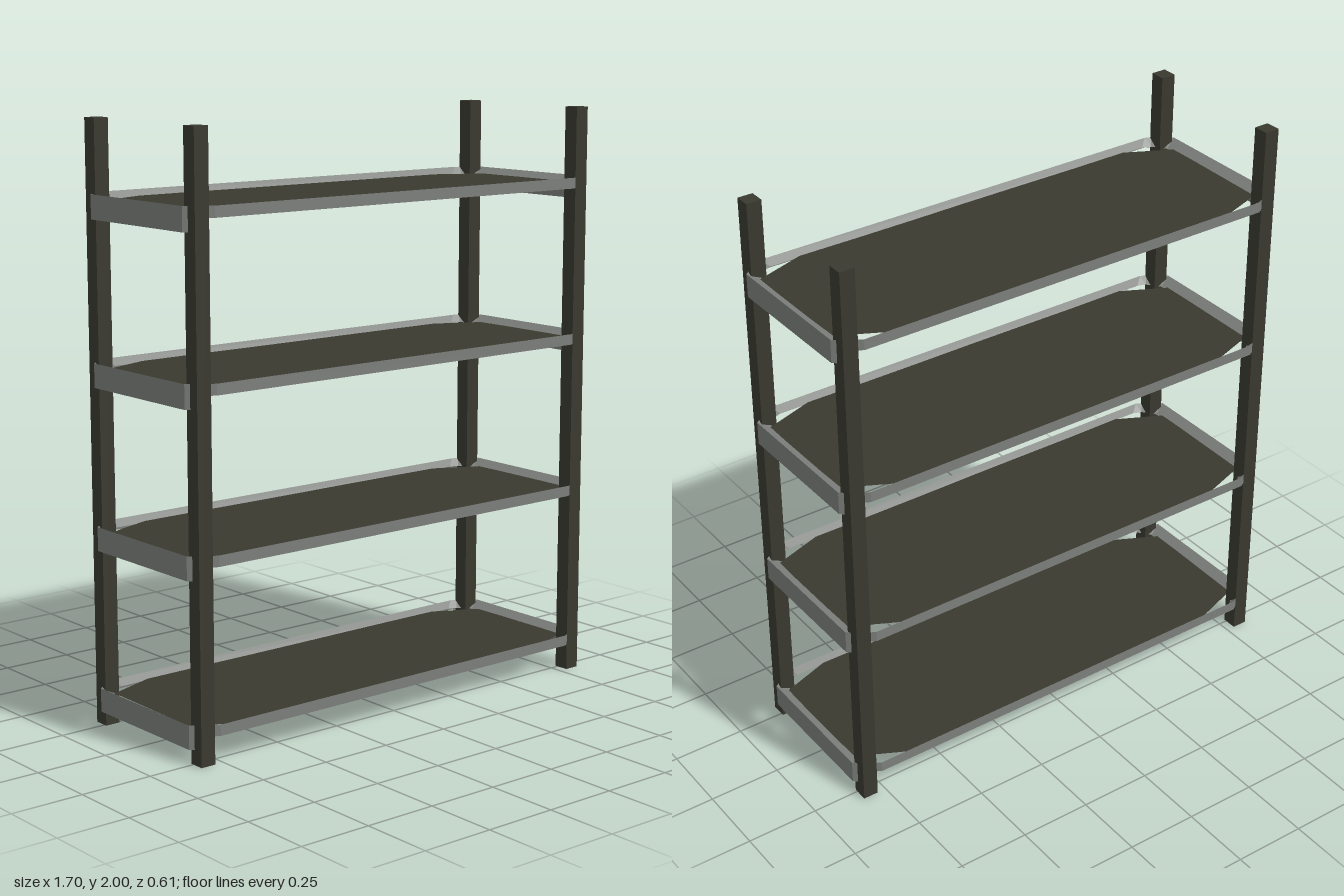
import * as THREE from 'three';

const postMat = new THREE.MeshStandardMaterial({ color: 0x3a392f });
postMat.name = 'darkOlive';
const frameMat = new THREE.MeshStandardMaterial({ color: 0x7b7e7b, side: THREE.DoubleSide });
frameMat.name = 'steelGrey';
const deckMat = new THREE.MeshStandardMaterial({ color: 0x3a392f, side: THREE.DoubleSide });
deckMat.name = 'darkDeck';

const FLOOR = -0.025; // tray floor below the rim

// One corner of the tray: outer x, outer z, skirt drop, inner x, inner z
const CORNER = [
  [0.848, 0.247, 0.08, 0.805, 0.23],
  [0.832, 0.26, 0.08, 0.79, 0.255],
  [0.785, 0.292, 0.037, 0.77, 0.275],
  [0.765, 0.303, 0.037, 0.74, 0.287],
];

// Skirt and sloped rim, mirrored around the four corners
function frameGeometry() {
  const loop = [];
  [[1, 1], [-1, 1], [-1, -1], [1, -1]].forEach(([sx, sz], q) => {
    const pts = q % 2 ? [...CORNER].reverse() : CORNER;
    for (const [x, z, drop, ix, iz] of pts) {
      loop.push([
        [sx * x, -drop, sz * z],
        [sx * x, 0, sz * z],
        [sx * ix, FLOOR, sz * iz],
      ]);
    }
  });
  const pos = [];
  loop.forEach((a, i) => {
    const b = loop[(i + 1) % loop.length].map((p) => [...p]);
    // End each change of skirt depth as a vertical step behind the post
    for (let r = 0; r < 2; r++) {
      pos.push(...a[r], ...a[r + 1], ...b[r + 1], ...a[r], ...b[r + 1], ...b[r]);
    }
  });
  const g = new THREE.BufferGeometry();
  g.setAttribute('position', new THREE.Float32BufferAttribute(pos, 3));
  g.computeVertexNormals();
  return g;
}

// Dark floor sheet with a slightly ragged outline
function deckGeometry() {
  const hx = 0.81, hz = 0.286, r = 0.06;
  const outline = new THREE.Shape();
  outline.moveTo(hx, -hz + r);
  outline.lineTo(hx, hz - r);
  outline.quadraticCurveTo(hx, hz, hx - r, hz);
  outline.lineTo(-hx + r, hz);
  outline.quadraticCurveTo(-hx, hz, -hx, hz - r);
  outline.lineTo(-hx, -hz + r);
  outline.quadraticCurveTo(-hx, -hz, -hx + r, -hz);
  outline.lineTo(hx - r, -hz);
  outline.quadraticCurveTo(hx, -hz, hx, -hz + r);
  const pts = outline.getSpacedPoints(20).slice(0, -1).map((p, i) => {
    const k = 1 + 0.004 * Math.sin(i * 1.7) + 0.003 * Math.sin(i * 0.61 + 1);
    return new THREE.Vector2(p.x * k, p.y * k);
  });
  return new THREE.ShapeGeometry(new THREE.Shape(pts)).rotateX(-Math.PI / 2);
}

export function createModel() {
  const model = new THREE.Group();
  model.name = 'shelvingUnit';

  // Four upright posts
  const postGeo = new THREE.BoxGeometry(0.053, 2, 0.054);
  for (const sx of [-1, 1]) {
    for (const sz of [-1, 1]) {
      const post = new THREE.Mesh(postGeo, postMat);
      post.name = (sz > 0 ? 'front' : 'back') + (sx > 0 ? 'Left' : 'Right') + 'Post';
      post.position.set(sx * 0.808, 1, sz * 0.267);
      model.add(post);
    }
  }

  // Four shallow tray shelves
  const frameGeo = frameGeometry();
  const deckGeo = deckGeometry();
  [0.13, 0.677, 1.217, 1.76].forEach((y, i) => {
    const shelf = new THREE.Group();
    shelf.name = 'shelf' + (i + 1);
    shelf.position.y = y;
    const frame = new THREE.Mesh(frameGeo, frameMat);
    frame.name = 'shelfFrame';
    const deck = new THREE.Mesh(deckGeo, deckMat);
    deck.name = 'shelfDeck';
    deck.position.y = FLOOR + 0.005;
    shelf.add(frame, deck);
    model.add(shelf);
  });

  return model;
}
